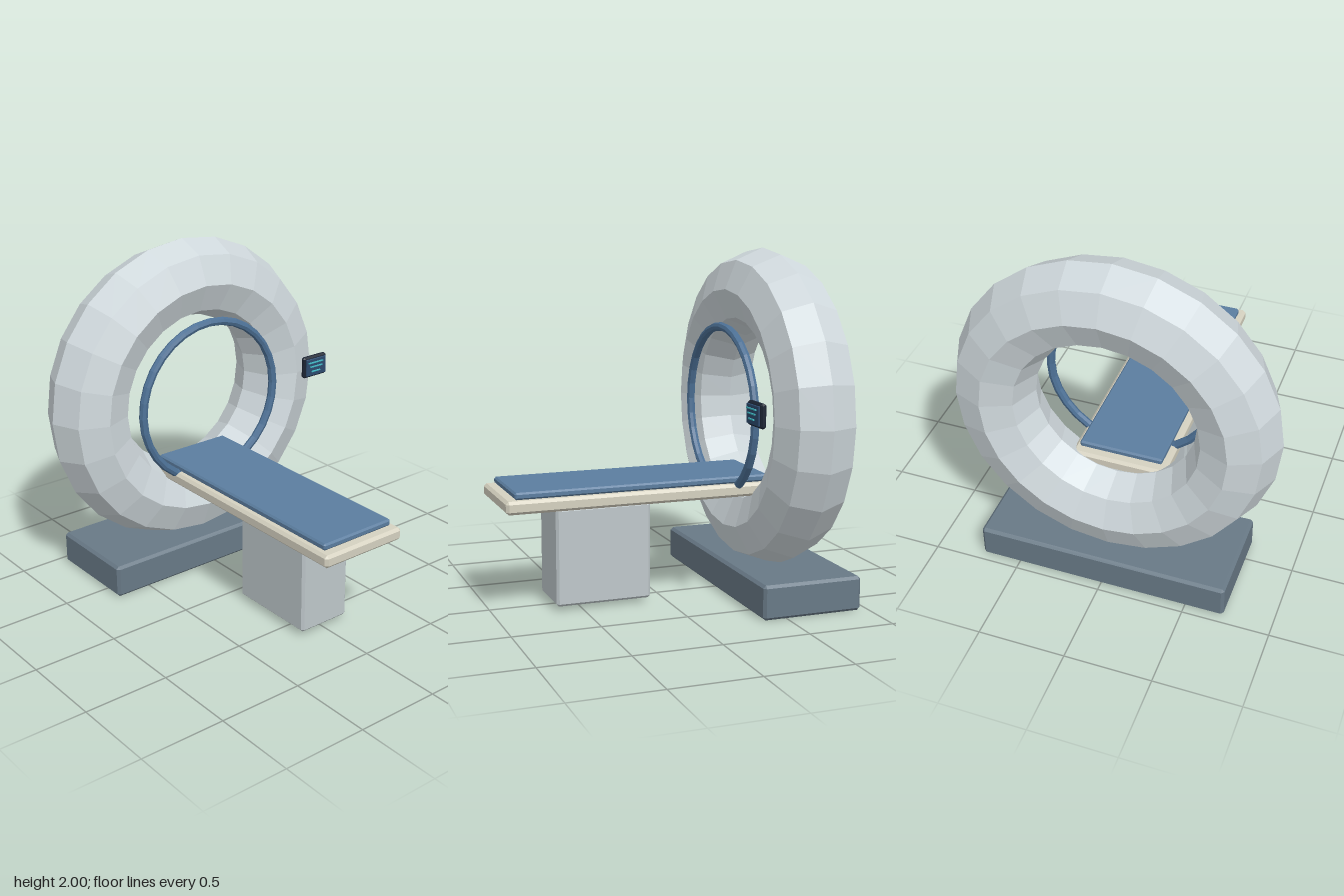
import * as THREE from 'three';
import { ConvexGeometry } from 'three/addons/geometries/ConvexGeometry.js';

const material = (color) => new THREE.MeshStandardMaterial({ color, flatShading: true });

// Box with chamfered edges, given by its min/max extents on each axis
function chamferBox(name, [x0, x1], [y0, y1], [z0, z1], bevel, mat) {
  const half = [(x1 - x0) / 2, (y1 - y0) / 2, (z1 - z0) / 2];
  const points = [];
  for (const sx of [-1, 1]) for (const sy of [-1, 1]) for (const sz of [-1, 1]) {
    for (let axis = 0; axis < 3; axis++) {
      const inset = half.map((h, i) => (i === axis ? h : h - bevel));
      points.push(new THREE.Vector3(sx * inset[0], sy * inset[1], sz * inset[2]));
    }
  }
  const mesh = new THREE.Mesh(new ConvexGeometry(points), mat);
  mesh.position.set((x0 + x1) / 2, (y0 + y1) / 2, (z0 + z1) / 2);
  mesh.name = name;
  return mesh;
}

function ring(name, radius, tube, sides, segments, z, mat) {
  const mesh = new THREE.Mesh(new THREE.TorusGeometry(radius, tube, sides, segments), mat);
  mesh.position.set(0, 1.07, z);
  mesh.name = name;
  return mesh;
}

export function createModel() {
  const model = new THREE.Group();
  model.name = 'scanner';

  const shell = material(0xcfd8dc);
  const steel = material(0x687986);
  const blue = material(0x4d7196);
  const cream = material(0xd5d1c0);
  const padBlue = material(0x5b7d9f);
  const grey = material(0xbec7ca);
  const dark = material(0x1b2433);
  const screenBlue = material(0x2c4a6e);
  const teal = material(0x3fb8c4);

  // Gantry on its plinth, with the trim ring around the bore
  model.add(
    chamferBox('base', [-0.725, 0.725], [0, 0.197], [-0.955, -0.36], 0.016, steel),
    ring('gantry', 0.695, 0.235, 8, 24, -0.657, shell),
    ring('boreRing', 0.48, 0.025, 8, 32, -0.404, blue)
  );

  // Patient table
  model.add(
    chamferBox('pedestal', [-0.165, 0.165], [0.025, 0.585], [0.095, 0.65], 0.014, grey),
    chamferBox('tableTop', [-0.275, 0.275], [0.597, 0.672], [-0.65, 0.957], 0.016, cream),
    chamferBox('mattress', [-0.242, 0.242], [0.672, 0.712], [-0.6, 0.902], 0.01, padBlue)
  );

  // Control panel with readout lines
  const panel = new THREE.Group();
  panel.name = 'controlPanel';
  panel.add(
    chamferBox('panelBody', [0.635, 0.815], [1.082, 1.216], [-0.318, -0.285], 0.01, dark),
    chamferBox('screen', [0.648, 0.802], [1.095, 1.203], [-0.286, -0.274], 0.003, screenBlue)
  );
  const lines = [[1.18, 0.66, 0.775], [1.154, 0.673, 0.768], [1.124, 0.683, 0.752]];
  for (const [y, x0, x1] of lines) {
    panel.add(chamferBox('readoutLine', [x0, x1], [y - 0.004, y + 0.004], [-0.275, -0.267], 0.001, teal));
  }
  model.add(panel);

  return model;
}
